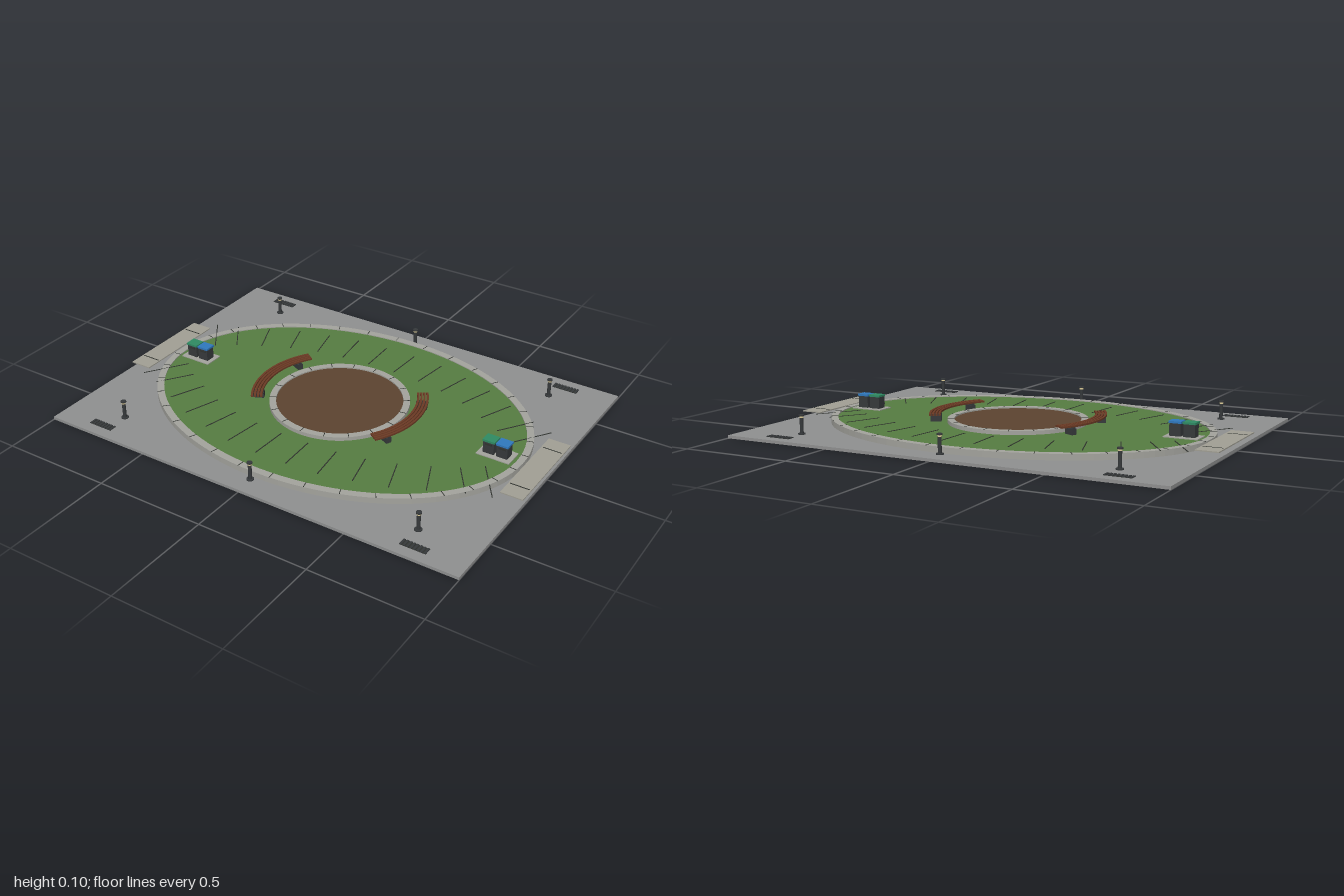
import * as THREE from 'three';

const mat = (color) => new THREE.MeshStandardMaterial({ color });
const M = {
  paving: mat(0x8f9090), curb: mat(0xa3a39d), lawn: mat(0x567d41), soil: mat(0x5c4430),
  joint: mat(0x30332f), wood: mat(0x6b3a24), dark: mat(0x36393b), ramp: mat(0xa19f94),
  green: mat(0x2f8a63), blue: mat(0x2f78bd), lamp: mat(0xe0cf9a),
};

export function createModel() {
  const root = new THREE.Group();

  const add = (parent, name, geometry, material, x = 0, y = 0, z = 0, ry = 0) => {
    const mesh = new THREE.Mesh(geometry, material);
    mesh.name = name;
    mesh.position.set(x, y, z);
    mesh.rotation.y = ry;
    parent.add(mesh);
    return mesh;
  };
  // box standing on y
  const box = (parent, name, w, h, d, material, x, y, z, ry) =>
    add(parent, name, new THREE.BoxGeometry(w, h, d), material, x, y + h / 2, z, ry);
  const group = (name, x = 0, y = 0, z = 0) => {
    const g = new THREE.Group();
    g.name = name;
    g.position.set(x, y, z);
    root.add(g);
    return g;
  };
  // flat plan shape raised into a solid along y
  const raise = (shape, height) =>
    new THREE.ExtrudeGeometry(shape, { depth: height, bevelEnabled: false, curveSegments: 48 })
      .rotateX(-Math.PI / 2);
  const ellipse = (rx, rz, Type = THREE.Shape) =>
    new Type().absellipse(0, 0, rx, rz, 0, Math.PI * 2, false, 0);
  const ring = (rx, rz, ix, iz) => {
    const s = ellipse(rx, rz);
    s.holes.push(ellipse(ix, iz, THREE.Path));
    return s;
  };
  // thin dark strip between two plan points
  const strip = (parent, name, x1, z1, x2, z2, y, width = 0.004) =>
    box(parent, name, Math.hypot(x2 - x1, z2 - z1), 0.002, width, M.joint,
      (x1 + x2) / 2, y, (z1 + z2) / 2, -Math.atan2(z2 - z1, x2 - x1));

  // Ground, lawn and central bed
  box(root, 'pavingSlab', 2, 0.013, 1.5, M.paving, 0, 0, 0);
  add(root, 'lawn', raise(ellipse(0.865, 0.615), 0.023), M.lawn, 0, 0.012, 0);
  add(root, 'outerCurb', raise(ring(0.89, 0.645, 0.86, 0.612), 0.027), M.curb, 0, 0.012, 0);
  add(root, 'soilBed', raise(ellipse(0.285, 0.285), 0.012), M.soil, 0, 0.034, 0);
  add(root, 'innerCurb', raise(ring(0.31, 0.31, 0.28, 0.28), 0.02), M.curb, 0, 0.032, 0);

  // Joints across both curbs
  const joints = group('curbJoints');
  const addJoints = (count, rx, rz, ix, iz, y) => {
    for (let i = 0; i < count; i++) {
      const a = ((i + 0.5) / count) * Math.PI * 2;
      const c = Math.cos(a), s = Math.sin(a);
      strip(joints, 'curbJoint', c * ix, s * iz, c * rx, s * rz, y, 0.003);
    }
  };
  addJoints(36, 0.89, 0.645, 0.86, 0.612, 0.038);
  addJoints(18, 0.31, 0.31, 0.28, 0.28, 0.051);

  // Fanned strips over the lawn: outer x, z to inner x, z
  const strips = group('lawnStrips');
  const fan = [
    [0.075, 0.525, 0.068, 0.35], [0.225, 0.515, 0.203, 0.34], [0.37, 0.48, 0.332, 0.32],
    [0.514, 0.44, 0.46, 0.28], [0.65, 0.375, 0.585, 0.22], [0.79, 0.31, 0.69, 0.165],
    [0.89, 0.275, 0.77, 0.1],
  ];
  for (const sx of [-1, 1]) for (const sz of [-1, 1])
    for (const [x1, z1, x2, z2] of fan)
      strip(strips, 'lawnStrip', sx * x1, sz * z1, sx * x2, sz * z2, 0.037);

  // Curved slatted benches on two block legs
  const arc = (r0, r1, half) => {
    const s = new THREE.Shape();
    s.absarc(0, 0, r1, -half, half, false);
    s.absarc(0, 0, r0, half, -half, true);
    s.closePath();
    return s;
  };
  for (const side of [0, 1]) {
    const bench = group(side ? 'rightBench' : 'leftBench');
    bench.rotation.y = side * Math.PI;
    for (let i = 0; i < 4; i++) {
      const r = 0.34 + i * 0.0135;
      add(bench, 'benchSlat', raise(arc(r, r + 0.01, 0.61), 0.008), M.wood, 0, 0.069, 0);
    }
    for (const a of [-0.435, 0.435]) {
      const x = Math.cos(a) * 0.362, z = -Math.sin(a) * 0.362;
      box(bench, 'benchLeg', 0.048, 0.027, 0.024, M.dark, x, 0.034, z, a);
      box(bench, 'benchBracket', 0.05, 0.009, 0.01, M.dark, x, 0.061, z, a);
    }
  }

  // Paired bins on a pad
  for (const side of [-1, 1]) {
    const bins = group(side < 0 ? 'rightBins' : 'leftBins', side * 0.767, 0.034, -side * 0.011);
    box(bins, 'binPad', 0.152, 0.005, 0.092, M.curb, 0, 0, 0);
    [M.green, M.blue].forEach((lid, i) => {
      const x = i ? 0.031 : -0.031;
      box(bins, 'binBody', 0.05, 0.055, 0.046, M.dark, x, 0.005, 0);
      box(bins, 'binLid', 0.056, 0.009, 0.052, lid, x, 0.059, 0);
      box(bins, 'binSlot', 0.03, 0.008, 0.002, M.joint, x, 0.044, 0.0235);
    });
  }

  // Raised entrance plates with cross strips
  for (const side of [-1, 1]) {
    const ramp = group(side < 0 ? 'rightRamp' : 'leftRamp', side * 0.95, 0.034, 0);
    box(ramp, 'rampPlate', 0.1, 0.005, 0.456, M.ramp, 0, 0, 0);
    for (const z of [-0.153, 0.153]) box(ramp, 'rampStrip', 0.085, 0.001, 0.005, M.joint, 0, 0.005, z);
  }

  // Lamp bollards
  const cyl = (r, h) => new THREE.CylinderGeometry(r, r, h, 16).translate(0, h / 2, 0);
  const posts = [[0, 0.665], [0.735, 0.585], [-0.735, 0.585]];
  for (const [x, pz] of posts) for (const s of [-1, 1]) {
    const post = group('bollard', x, 0.012, s * pz);
    add(post, 'bollardBase', cyl(0.016, 0.006), M.dark);
    add(post, 'bollardPost', cyl(0.008, 0.068), M.dark, 0, 0.005, 0);
    add(post, 'bollardLamp', cyl(0.009, 0.008), M.lamp, 0, 0.073, 0);
    add(post, 'bollardCap', cyl(0.012, 0.006), M.dark, 0, 0.08, 0);
  }

  // Corner drain grates
  for (const x of [-0.775, 0.775]) for (const z of [-0.683, 0.683]) {
    const drain = group('drain', x, 0.012, z);
    box(drain, 'drainTray', 0.115, 0.002, 0.036, M.joint, 0, 0, 0);
    for (let i = 0; i < 8; i++)
      box(drain, 'drainBar', 0.009, 0.005, 0.036, M.dark, -0.0525 + i * 0.015, 0, 0);
  }

  return root;
}
